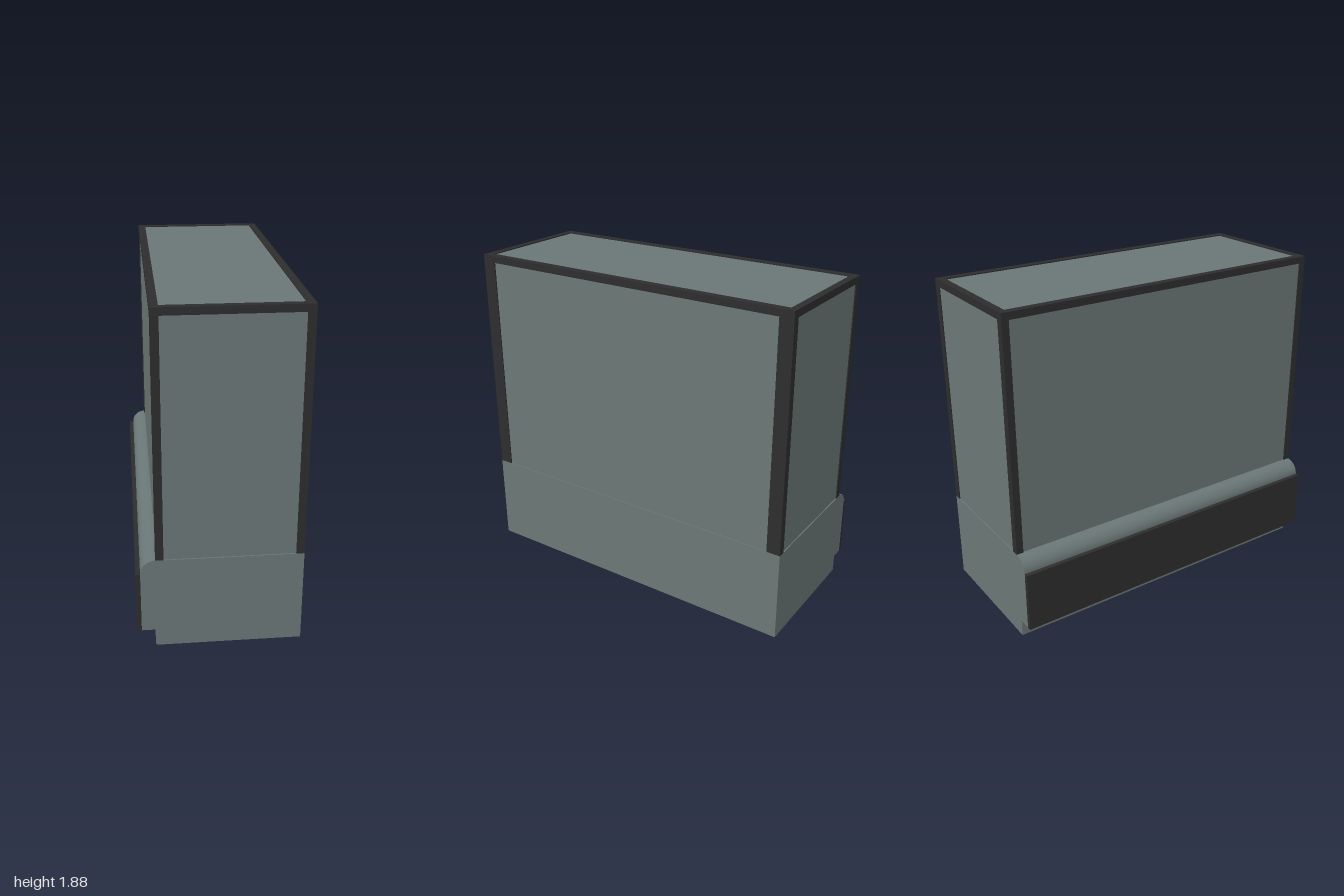
import * as THREE from 'three';

const HALF = 1; // half length along z
const X0 = -0.34, X1 = 0.44, BASE_TOP = 0.53, TOP = 1.875;

export function createModel() {
  const model = new THREE.Group();
  model.name = 'cabinet';

  const grey = new THREE.MeshStandardMaterial({ color: 0x6a7776, side: THREE.DoubleSide });
  grey.name = 'panelGrey';
  const dark = new THREE.MeshStandardMaterial({ color: 0x2d2d2d });
  dark.name = 'trimDark';

  const add = (name, geometry, material, parent = model) => {
    const mesh = new THREE.Mesh(geometry, material);
    mesh.name = name;
    parent.add(mesh);
    return mesh;
  };
  // Box given by its two extreme corners
  const box = (name, x0, x1, y0, y1, z0, z1, material, parent) => {
    const mesh = add(name, new THREE.BoxGeometry(x1 - x0, y1 - y0, z1 - z0), material, parent);
    mesh.position.set((x0 + x1) / 2, (y0 + y1) / 2, (z0 + z1) / 2);
  };

  // Base: a hollow shell, open underneath
  const base = new THREE.Group();
  base.name = 'base';
  model.add(base);
  const wall = (name, ax, ay, bx, by) => {
    const g = new THREE.BufferGeometry();
    g.setAttribute('position', new THREE.Float32BufferAttribute(
      [ax, ay, -HALF, ax, ay, HALF, bx, by, HALF, bx, by, -HALF], 3));
    g.setIndex([0, 1, 2, 0, 2, 3]);
    g.computeVertexNormals();
    add(name, g, grey, base);
  };
  wall('toeWall', -0.345, 0, -0.345, 0.1);
  wall('stepUnderside', -0.345, 0.1, -0.42, 0.1);
  wall('baseTop', X0, BASE_TOP, X1, BASE_TOP);
  wall('baseSide', X1, BASE_TOP, X1, 0);

  // Rounded shoulder above the kick panel
  const R = 0.08;
  const shoulder = add('shoulder',
    new THREE.CylinderGeometry(R, R, 2 * HALF, 16, 1, true, Math.PI, Math.PI / 2).rotateX(Math.PI / 2), grey, base);
  shoulder.position.set(X0, BASE_TOP - R, 0);

  // End plates of the base
  const profile = new THREE.Shape();
  profile.moveTo(-0.345, 0);
  profile.lineTo(X1, 0);
  profile.lineTo(X1, BASE_TOP);
  profile.lineTo(X0, BASE_TOP);
  profile.absarc(X0, BASE_TOP - R, R, Math.PI / 2, Math.PI, false);
  profile.lineTo(-0.42, 0.1);
  profile.lineTo(-0.345, 0.1);
  for (const s of [1, -1]) {
    const plate = new THREE.ShapeGeometry(profile, 16);
    if (s < 0) plate.scale(-1, 1, 1).rotateY(Math.PI);
    // Restore the winding flipped by mirroring the back plate
    if (s < 0) {
      plate.index.array.reverse();
      plate.computeVertexNormals();
    }
    add(s > 0 ? 'frontPlate' : 'backPlate', plate, grey, base).position.z = s * HALF;
  }
  box('kickPanel', -0.445, -0.42, 0.1, 0.45, -HALF, HALF, dark);

  // Upper body, set slightly behind the trim
  const inset = 0.006;
  box('upperBody', X0 + inset, X1 - inset, BASE_TOP, TOP - inset, -HALF + inset, HALF - inset, grey);

  // Dark angle trim along the corners and the top edges
  const trim = new THREE.Group();
  trim.name = 'trim';
  model.add(trim);
  const W = 0.043, T = 0.04;
  for (const s of [1, -1]) {
    const z = (d) => [s * (HALF - d), s * HALF].sort((a, b) => a - b);
    const postTop = TOP - T;
    box('cornerPost', X0, X0 + W, BASE_TOP, postTop, ...z(T), dark, trim);
    box('cornerPost', X1 - W, X1, BASE_TOP, postTop, ...z(T), dark, trim);
    // Wider leg of the angle on the +x side
    box('postFlange', X1 - 0.012, X1, BASE_TOP, postTop, ...z(0.08), dark, trim);
    box('topEndRail', X0, X1, postTop, TOP, ...z(T), dark, trim);
  }
  box('topSideRail', X0, X0 + W, TOP - T, TOP, -HALF + T, HALF - T, dark, trim);
  box('topSideRail', X1 - W, X1, TOP - T, TOP, -HALF + T, HALF - T, dark, trim);

  return model;
}
